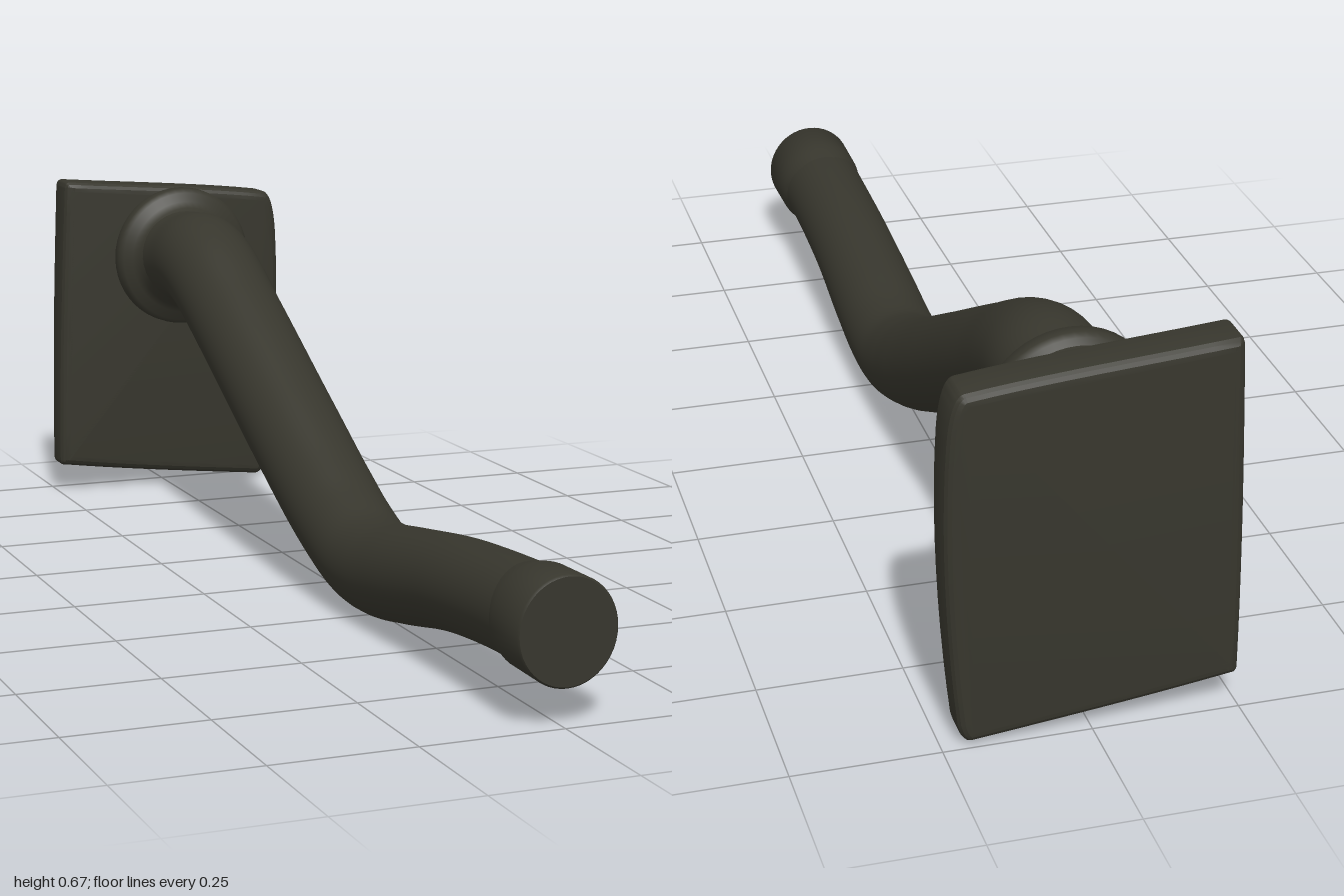
import * as THREE from 'three';
import { mergeVertices, toCreasedNormals } from 'three/addons/utils/BufferGeometryUtils.js';

// Sweep a circle of varying radius along a path in the yz plane; rows are [z, y, radius]
function sweptRod(rows, rings, sides) {
  const path = new THREE.CatmullRomCurve3(rows.map(([z, y]) => new THREE.Vector3(0, y, z)), false, 'centripetal');
  const radii = new THREE.CatmullRomCurve3(rows.map((r, i) => new THREE.Vector3(r[2], i, 0)), false, 'catmullrom', 0.3);
  const pos = [], index = [];
  for (let i = 0; i <= rings; i++) {
    const t = i / rings, c = path.getPoint(t), d = path.getTangent(t), r = radii.getPoint(t).x;
    for (let j = 0; j < sides; j++) {
      const a = (j / sides) * Math.PI * 2, u = Math.sin(a) * r;
      pos.push(Math.cos(a) * r, c.y + d.z * u, c.z - d.y * u);
      if (i < rings) {
        const k = (j + 1) % sides, p = i * sides;
        index.push(p + j, p + k, p + sides + j, p + k, p + sides + k, p + sides + j);
      }
    }
  }
  const geo = new THREE.BufferGeometry();
  geo.setAttribute('position', new THREE.Float32BufferAttribute(pos, 3));
  geo.setIndex(index);
  geo.computeVertexNormals();
  return geo;
}

// Turn a profile of [radius, z] points around the z axis
function turned(profile) {
  const geo = new THREE.LatheGeometry(profile.map(p => new THREE.Vector2(...p)), 48);
  geo.rotateX(Math.PI / 2);
  return toCreasedNormals(geo, 0.7);
}

export function createModel() {
  const group = new THREE.Group();
  const bronze = new THREE.MeshStandardMaterial({ color: 0x37362d });
  bronze.name = 'dark bronze';
  const add = (name, geo, x = 0, y = 0) => {
    const mesh = new THREE.Mesh(geo, bronze);
    mesh.name = name;
    mesh.position.set(x, y, 0);
    group.add(mesh);
    return mesh;
  };

  // Bent arm, from the wall to the front end
  add('arm', sweptRod([
    [-0.88, 0.515, 0.102], [-0.8, 0.516, 0.096], [-0.72, 0.519, 0.098], [-0.65, 0.5, 0.097],
    [-0.5, 0.425, 0.094], [-0.2, 0.266, 0.092], [0, 0.163, 0.09], [0.1, 0.119, 0.088],
    [0.19, 0.091, 0.087], [0.28, 0.088, 0.087], [0.4, 0.105, 0.086], [0.6, 0.137, 0.082],
    [0.8, 0.153, 0.081], [0.95, 0.156, 0.083]
  ], 120, 40), 0.001);

  // Sleeve with a flat end at the front of the arm, slightly taller than wide
  const sleeve = add('endSleeve', turned([
    [0.077, 0.855], [0.083, 0.88], [0.0865, 0.9], [0.088, 0.996], [0.085, 1], [0, 1]
  ]), 0.003, 0.156);
  sleeve.scale.y = 1.05;

  // Stepped flange between arm and plate
  add('wallFlange', turned([
    [0.128, -0.93], [0.129, -0.895], [0.139, -0.888], [0.145, -0.878], [0.144, -0.856],
    [0.136, -0.847], [0.118, -0.84], [0.106, -0.828], [0.1, -0.81], [0.088, -0.78]
  ]), 0.007, 0.511);

  // Slightly skewed wall plate with rounded corners
  const s = new THREE.Shape();
  s.moveTo(-0.222, 0.672);
  s.quadraticCurveTo(-0.233, 0.672, -0.234, 0.655);
  s.bezierCurveTo(-0.242, 0.47, -0.249, 0.28, -0.249, 0.07);
  s.quadraticCurveTo(-0.248, 0.058, -0.236, 0.058);
  s.bezierCurveTo(-0.09, 0.036, 0.06, 0.02, 0.2, 0.005);
  s.quadraticCurveTo(0.216, 0.005, 0.224, 0.04);
  s.bezierCurveTo(0.244, 0.2, 0.254, 0.4, 0.244, 0.55);
  s.quadraticCurveTo(0.238, 0.63, 0.215, 0.634);
  s.bezierCurveTo(0.08, 0.652, -0.08, 0.66, -0.222, 0.672);
  const plate = new THREE.ExtrudeGeometry(s, {
    depth: 0.05, bevelThickness: 0.018, bevelSize: 0.02, bevelOffset: -0.02, bevelSegments: 4, curveSegments: 10
  });
  plate.translate(0, 0, -0.982);
  // The front face leans back slightly toward the bottom
  const p = plate.attributes.position;
  for (let i = 0; i < p.count; i++) {
    if (p.getZ(i) > -0.96) p.setZ(i, p.getZ(i) - 0.018 * (1 - p.getY(i) / 0.672));
  }
  plate.deleteAttribute('uv');
  plate.deleteAttribute('normal');
  add('wallPlate', toCreasedNormals(mergeVertices(plate, 1e-5), 0.35));

  return group;
}
